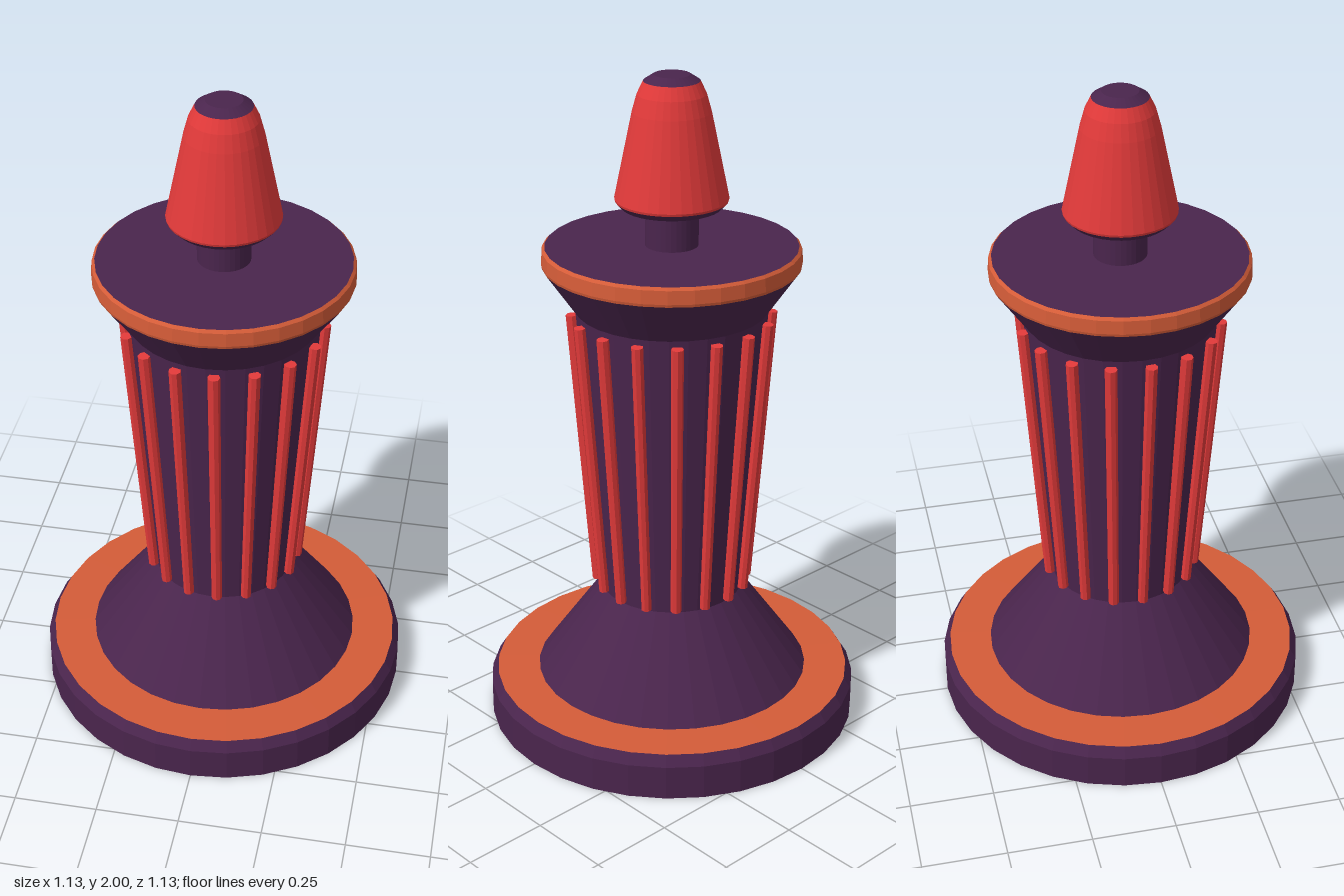
import * as THREE from 'three';

const SEGMENTS = 32;
const RIBS = 16;

export function createModel() {
  const model = new THREE.Group();
  model.name = 'finialPost';

  const material = (name, color) => {
    const m = new THREE.MeshStandardMaterial({ color });
    m.name = name;
    return m;
  };
  const purple = material('darkPurple', 0x4a254d);
  const orange = material('burntOrange', 0xd45c38);
  const red = material('brightRed', 0xe23a3a);

  // Faceted normals for the low-poly look
  const facet = (geometry) => {
    const g = geometry.toNonIndexed();
    g.computeVertexNormals();
    return g;
  };
  // Turned part from [radius, height] points listed bottom to top
  const turned = (name, mat, points) => {
    const profile = points.map(([r, y]) => new THREE.Vector2(r, y));
    const mesh = new THREE.Mesh(facet(new THREE.LatheGeometry(profile, SEGMENTS)), mat);
    mesh.name = name;
    model.add(mesh);
  };

  // Chamfered base with its coloured ledge
  turned('base', purple, [[0, 0], [0.565, 0], [0.565, 0.105], [0.545, 0.137]]);
  turned('baseLedge', orange, [[0.545, 0.137], [0.415, 0.139]]);

  // Conical foot, tapered shaft and flared capital
  turned('foot', purple, [[0.417, 0.137], [0.215, 0.42]]);
  turned('shaft', purple, [[0.215, 0.42], [0.282, 1.315]]);
  turned('capital', purple, [[0.282, 1.315], [0.375, 1.45]]);
  turned('capitalBand', orange, [[0.375, 1.45], [0.377, 1.458], [0.374, 1.497], [0.366, 1.505]]);
  turned('capitalTop', purple, [[0.366, 1.505], [0, 1.505]]);

  // Stem and bullet-shaped finial
  turned('stem', purple, [[0.077, 1.505], [0.077, 1.606]]);
  turned('finialUnderside', purple, [[0.07, 1.605], [0.09, 1.606], [0.145, 1.62], [0.162, 1.638]]);
  turned('finial', red, [[0.162, 1.638], [0.164, 1.645], [0.112, 1.895], [0.098, 1.945], [0.08, 1.982]]);
  turned('finialCap', purple, [[0.08, 1.982], [0.052, 2], [0, 2]]);

  // Slim ribs that follow the slope of the shaft
  const ribs = new THREE.Group();
  ribs.name = 'ribs';
  const bottom = new THREE.Vector3(0, 0.432, 0.228);
  const top = new THREE.Vector3(0, 1.296, 0.291);
  const along = top.clone().sub(bottom);
  const ribGeometry = facet(new THREE.CylinderGeometry(0.018, 0.016, along.length(), 8));
  ribGeometry.rotateX(Math.atan2(along.z, along.y));
  ribGeometry.translate(0, (bottom.y + top.y) / 2, (bottom.z + top.z) / 2);
  for (let i = 0; i < RIBS; i++) {
    const rib = new THREE.Mesh(ribGeometry, red);
    rib.name = 'rib' + (i + 1);
    rib.rotation.y = (i / RIBS) * Math.PI * 2 + 0.085;
    ribs.add(rib);
  }
  model.add(ribs);

  return model;
}
